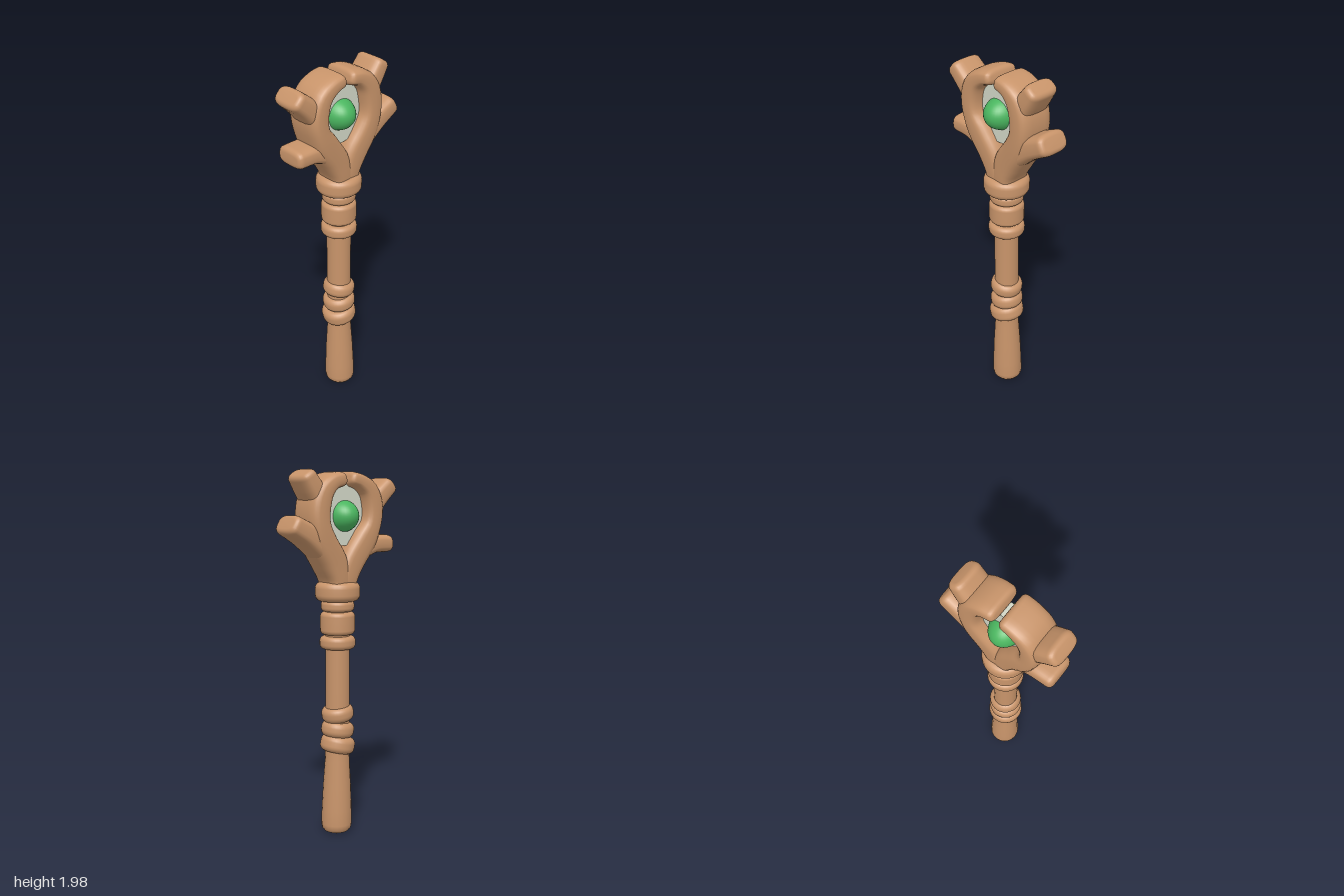
import * as THREE from 'three';

const wood = new THREE.MeshStandardMaterial({ color: 0xc8946a });
wood.name = 'wood';
const gemGreen = new THREE.MeshStandardMaterial({ color: 0x4ab55f });
gemGreen.name = 'gem green';
const paleStone = new THREE.MeshStandardMaterial({ color: 0xd3d8c8 });
paleStone.name = 'pale stone';

function add(group, name, geometry, material) {
  const mesh = new THREE.Mesh(geometry, material);
  mesh.name = name;
  group.add(mesh);
  return mesh;
}

// Sweeps a rounded-box section along a path in the xy plane, with a rounded tip.
// Each key is [x, y, half width, half depth].
function branchGeometry(keys, steps = 28, sides = 28, round = 0.026) {
  const path = new THREE.CatmullRomCurve3(keys.map(k => new THREE.Vector3(k[0], k[1], 0)));
  const size = new THREE.CatmullRomCurve3(keys.map(k => new THREE.Vector3(k[2], k[3], 0)));
  const positions = [], index = [];
  let rings = 0;
  const ring = (p, t, w, d) => {
    for (let j = 0; j < sides; j++) {
      const a = (j / sides) * Math.PI * 2, c = Math.cos(a), s = Math.sin(a);
      const u = Math.sign(c) * Math.abs(c) ** 0.62 * w;
      const v = Math.sign(s) * Math.abs(s) ** 0.62 * d;
      positions.push(p.x - t.y * u, p.y + t.x * u, v);
    }
    rings++;
  };
  for (let i = 0; i <= steps; i++) {
    const s = size.getPoint(i / steps);
    ring(path.getPoint(i / steps), path.getTangent(i / steps), s.x, s.y);
  }
  // rounded tip
  const end = path.getPoint(1), t = path.getTangent(1), s = size.getPoint(1);
  for (let k = 1; k <= 5; k++) {
    const a = (k / 5) * Math.PI / 2, inset = round * (1 - Math.cos(a));
    ring(end.clone().addScaledVector(t, round * Math.sin(a)), t, s.x - inset, s.y - inset);
  }
  const tip = end.clone().addScaledVector(t, round * 1.05);
  positions.push(tip.x, tip.y, 0);
  for (let i = 0; i < rings - 1; i++) {
    for (let j = 0; j < sides; j++) {
      const a = i * sides + j, b = i * sides + (j + 1) % sides;
      index.push(a, b, a + sides, b, b + sides, a + sides);
    }
  }
  const last = (rings - 1) * sides;
  for (let j = 0; j < sides; j++) index.push(last + j, last + (j + 1) % sides, rings * sides);
  const g = new THREE.BufferGeometry();
  g.setAttribute('position', new THREE.Float32BufferAttribute(positions, 3));
  g.setIndex(index);
  g.computeVertexNormals();
  return g;
}

// A band around the shaft with rounded edges, centred on its own origin.
function bandGeometry(radius, height, round) {
  const h = height / 2, pts = [new THREE.Vector2(0.04, -h)];
  for (const side of [-1, 1]) {
    for (let k = 0; k <= 5; k++) {
      const a = (side < 0 ? k / 5 - 1 : k / 5) * Math.PI / 2;
      pts.push(new THREE.Vector2(radius - round + Math.cos(a) * round, side * (h - round) + Math.sin(a) * round));
    }
  }
  pts.push(new THREE.Vector2(0.04, h));
  return new THREE.LatheGeometry(pts, 32);
}

export function createModel() {
  const model = new THREE.Group();
  model.name = 'staff';

  // Shaft with a flared grip
  const profile = [[0, 0.005], [0.045, 0.008], [0.068, 0.018], [0.081, 0.035], [0.085, 0.06], [0.083, 0.14],
    [0.077, 0.28], [0.068, 0.42], [0.066, 0.5], [0.066, 0.8], [0.066, 1.1], [0.068, 1.4]];
  const shaft = new THREE.LatheGeometry(profile.map(p => new THREE.Vector2(...p)), 20);
  const pos = shaft.attributes.position;
  for (let i = 0; i < pos.count; i++) {
    pos.setX(i, pos.getX(i) + 0.008 * Math.max(0, 1 - pos.getY(i) / 0.6));
  }
  add(model, 'shaft', shaft, wood);

  // Collars below the head: y, radius, height, edge rounding
  const collars = [[1.078, 0.097, 0.07, 0.026], [1.183, 0.094, 0.122, 0.024],
    [1.275, 0.09, 0.056, 0.02], [1.353, 0.121, 0.104, 0.035]];
  for (const [y, r, h, e] of collars) {
    add(model, 'collar', bandGeometry(r, h, e), wood).position.y = y;
  }

  // Tilted wraps around the grip: y, radius, height, tilt
  const wraps = [[0.685, 0.088, 0.085, -0.16], [0.595, 0.09, 0.085, 0.14], [0.51, 0.095, 0.092, 0.22]];
  for (const [y, r, h, tilt] of wraps) {
    const wrap = add(model, 'gripWrap', bandGeometry(r, h, 0.034), wood);
    wrap.position.y = y;
    wrap.rotation.z = tilt;
  }

  // Head: two curved arms and four twigs
  const head = new THREE.Group();
  head.name = 'head';
  model.add(head);
  const branches = {
    rightArm: [[-0.02, 1.36, 0.065, 0.085], [-0.025, 1.42, 0.065, 0.09], [-0.065, 1.515, 0.075, 0.095],
      [-0.137, 1.62, 0.075, 0.102], [-0.184, 1.715, 0.058, 0.105], [-0.19, 1.805, 0.06, 0.105],
      [-0.16, 1.885, 0.055, 0.104], [-0.1, 1.928, 0.044, 0.102], [-0.054, 1.941, 0.04, 0.1]],
    leftArm: [[0.02, 1.36, 0.065, 0.085], [0.025, 1.42, 0.065, 0.09], [0.06, 1.515, 0.08, 0.095],
      [0.127, 1.62, 0.075, 0.102], [0.16, 1.715, 0.063, 0.105], [0.158, 1.805, 0.064, 0.105],
      [0.13, 1.88, 0.058, 0.104], [0.075, 1.926, 0.046, 0.102], [0.027, 1.938, 0.042, 0.1]],
    upperRightTwig: [[-0.18, 1.78, 0.06, 0.09], [-0.25, 1.855, 0.056, 0.09], [-0.308, 1.905, 0.052, 0.088]],
    lowerRightTwig: [[-0.11, 1.57, 0.06, 0.09], [-0.21, 1.598, 0.05, 0.088], [-0.304, 1.6, 0.048, 0.086]],
    upperLeftTwig: [[0.14, 1.82, 0.06, 0.09], [0.19, 1.895, 0.056, 0.09], [0.227, 1.95, 0.05, 0.088]],
    lowerLeftTwig: [[0.11, 1.58, 0.07, 0.092], [0.21, 1.652, 0.062, 0.092], [0.308, 1.705, 0.056, 0.09]]
  };
  for (const [name, keys] of Object.entries(branches)) add(head, name, branchGeometry(keys), wood);

  // Pale setting filling the opening, with the gem through it
  const setting = add(head, 'gemSetting', new THREE.CylinderGeometry(1, 1, 0.08, 40).rotateX(Math.PI / 2), paleStone);
  setting.scale.set(0.135, 0.16, 1);
  setting.position.set(-0.018, 1.755, 0);
  const gem = add(head, 'gem', new THREE.SphereGeometry(1, 36, 24), gemGreen);
  gem.scale.set(0.087, 0.087, 0.115);
  gem.position.set(-0.02, 1.75, 0);

  return model;
}
